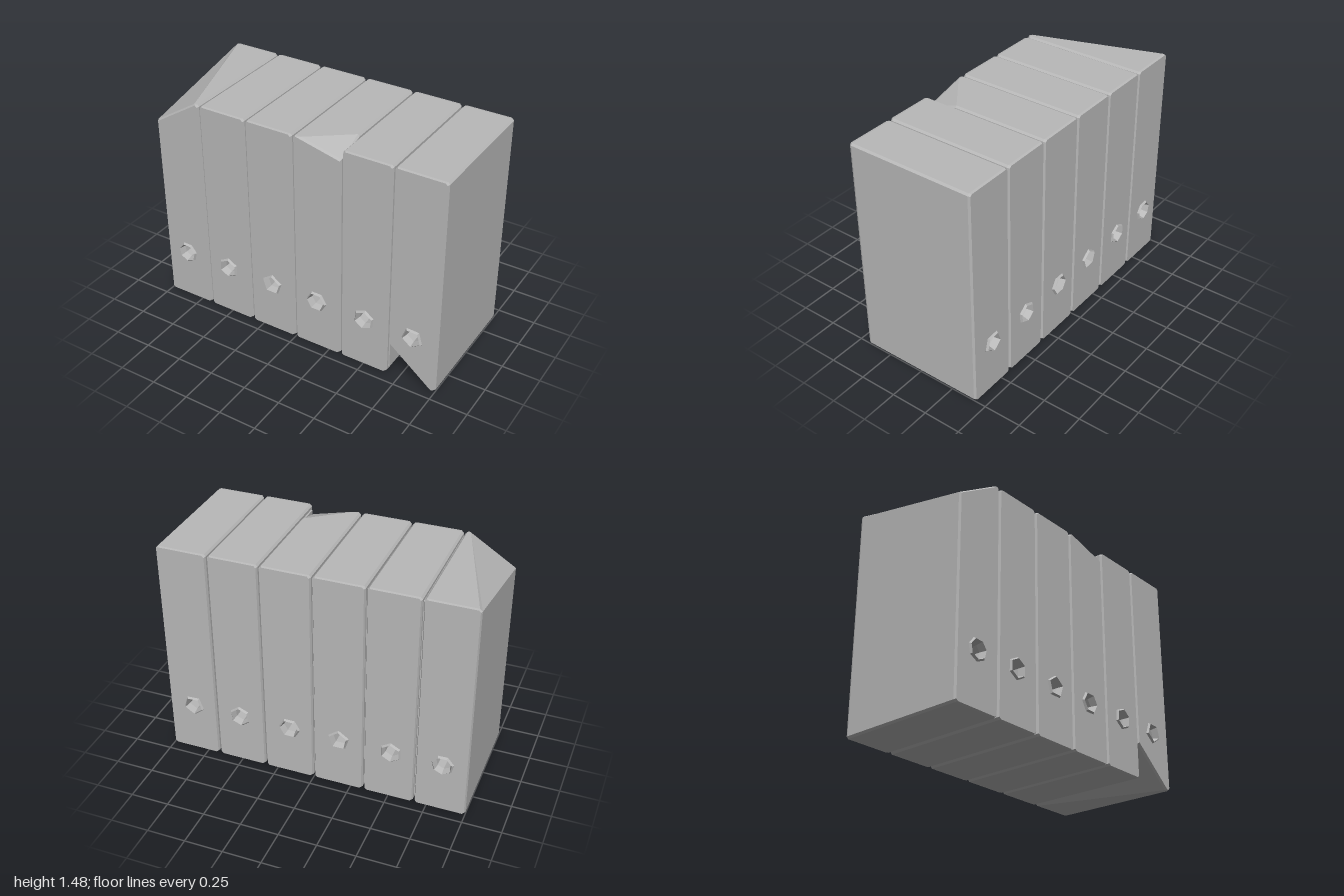
import * as THREE from 'three';

const H = 1.48, D = 0.43, EDGE = 0.012, HOLE_Y = 0.35;

// Corner-chamfered outline, counter-clockwise; corners: bl, br, tr, tl as [cx, cy]
function outline(x0, x1, y0, y1, c) {
  return [
    [x0, y0 + c[0][1]], [x0 + c[0][0], y0],
    [x1 - c[1][0], y0], [x1, y0 + c[1][1]],
    [x1, y1 - c[2][1]], [x1 - c[2][0], y1],
    [x0 + c[3][0], y1], [x0, y1 - c[3][1]],
  ];
}

// Clockwise polygon for the bore
function bore(cx, r, sides, turn) {
  return Array.from({ length: sides }, (_, i) => {
    const a = turn - (i / sides) * Math.PI * 2;
    return [cx + r * Math.cos(a), HOLE_Y + r * Math.sin(a)];
  });
}

// Slab lofted through cross-sections, with a collared bore from front to back
function slabGeometry(x0, x1, holeX, sides, turn, cut) {
  const pos = [];
  const tri = (a, b, c) => pos.push(...a, ...b, ...c);
  const at = (pts, z) => pts.map(([x, y]) => [x, y, z]);
  const loft = (rings) => {
    for (let k = 0; k < rings.length - 1; k++) {
      const f = rings[k], b = rings[k + 1];
      for (let i = 0; i < f.length; i++) {
        const j = (i + 1) % f.length;
        tri(f[i], b[i], b[j]);
        tri(f[i], b[j], f[j]);
      }
    }
  };

  // Outer skin; a cut corner fades out towards cut.z
  const depths = [D, D - 0.015, -D + 0.015, -D];
  if (cut && cut.z > -D + 0.015) depths.splice(2, 0, cut.z);
  const skin = depths.map((z) => {
    const inset = Math.abs(z) === D ? 0.007 : 0;
    const corners = [0, 1, 2, 3].map((i) => {
      if (!cut || cut.corner !== i) return [EDGE, EDGE];
      const t = Math.max(0, (z - cut.z) / (D - cut.z));
      return [EDGE + t * (cut.cx - EDGE), EDGE + t * (cut.cy - EDGE)];
    });
    return at(outline(x0 + inset, x1 - inset, inset / 2, H - inset / 2, corners), z);
  });
  loft(skin);

  // Bore with a slightly raised rim at both ends
  const holes = [[0.072, D], [0.062, 0.443], [0.05, 0.40], [0.05, -0.40], [0.062, -0.443], [0.072, -D]]
    .map(([r, z]) => at(bore(holeX, r, sides, turn), z));
  loft(holes);

  // End faces
  const cap = (ring, hole, flip) => {
    const v = (p) => new THREE.Vector2(p[0], p[1]);
    const all = [...ring, ...hole];
    for (const [a, b, c] of THREE.ShapeUtils.triangulateShape(ring.map(v), [hole.map(v)])) {
      if (flip) tri(all[a], all[c], all[b]);
      else tri(all[a], all[b], all[c]);
    }
  };
  cap(skin[0], holes[0], false);
  cap(skin[skin.length - 1], holes[holes.length - 1], true);

  const g = new THREE.BufferGeometry();
  g.setAttribute('position', new THREE.Float32BufferAttribute(pos, 3));
  g.computeVertexNormals();
  return g;
}

export function createModel() {
  const model = new THREE.Group();
  model.name = 'slabBlock';
  const grey = new THREE.MeshStandardMaterial({ color: 0xb8b8b8 });
  grey.name = 'plain grey';

  // Sliced-off corners, by slab index
  const cuts = {
    0: { corner: 3, cx: 0.3, cy: 0.19, z: -D },
    3: { corner: 2, cx: 0.29, cy: 0.07, z: 0.22 },
    5: { corner: 0, cx: 0.29, cy: 0.24, z: -D },
  };
  const holeX = [-0.84, -0.51, -0.17, 0.16, 0.5, 0.83];
  const sides = [7, 6, 5, 6, 6, 5];
  const turns = [0.2, 0.5, 0.3, 0, 0.4, 0.9];

  // Six upright slabs side by side
  for (let i = 0; i < 6; i++) {
    const x0 = -1 + i / 3 + (i > 0 ? 0.005 : 0);
    const x1 = -1 + (i + 1) / 3 - (i < 5 ? 0.005 : 0);
    const slab = new THREE.Mesh(slabGeometry(x0, x1, holeX[i], sides[i], turns[i], cuts[i]), grey);
    slab.name = `slab${i + 1}`;
    model.add(slab);
  }

  // Fillers that close the joints behind the grooves
  for (let i = 1; i < 6; i++) {
    const filler = new THREE.Mesh(new THREE.BoxGeometry(0.011, H - 0.06, 2 * D - 0.06), grey);
    filler.name = `joint${i}`;
    filler.position.set(-1 + i / 3, H / 2, 0);
    // Keep the filler inside the sliced corner of the last slab
    if (i === 5) {
      filler.scale.x = 0.9;
      filler.position.x -= 0.002;
    }
    model.add(filler);
  }
  return model;
}
